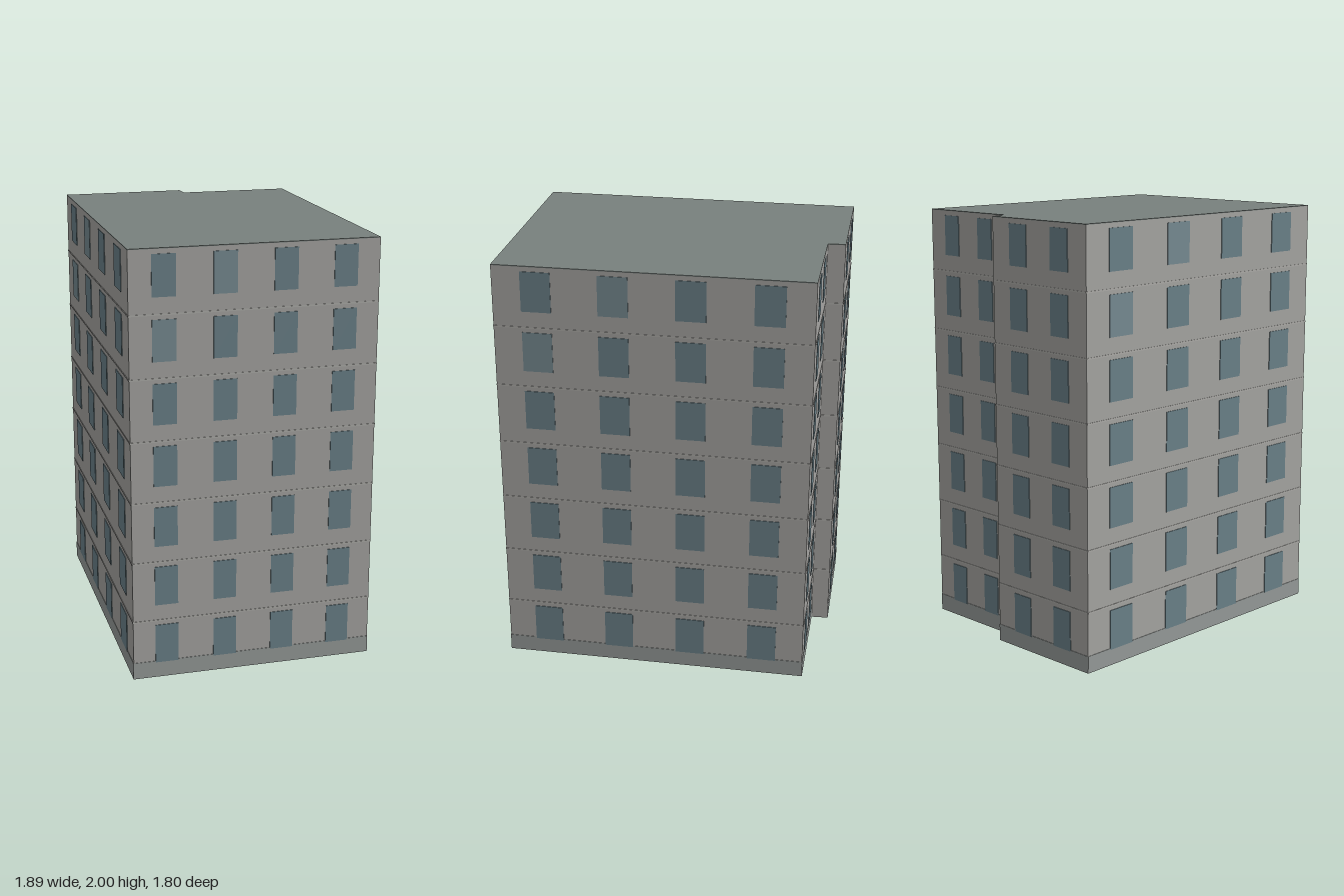
import * as THREE from 'three';

const paint = (color) => new THREE.MeshStandardMaterial({ color });

export function createModel() {
  const building = new THREE.Group();
  building.name = 'apartmentBlock';

  const wallMat = paint(0xa5a4a1), roofMat = paint(0x78807d), baseMat = paint(0x959a98);
  const beltMat = paint(0xadaca8), glassMat = paint(0x6a8088), paleGlassMat = paint(0x768a91);

  // Footprint corners (x, z), walked so every wall faces outwards
  const corners = [
    [-0.945, -0.09], [0.21, 0.895], [0.945, 0.03],
    [-0.15, -0.9], [-0.495, -0.495], [-0.56, -0.545],
  ];
  const height = 2, floors = 7, floorHeight = height / floors, roofThickness = 0.004;

  // Footprint raised into a solid from y0 to y1
  function slab(name, y0, y1, material) {
    const shape = new THREE.Shape(corners.map(([x, z]) => new THREE.Vector2(x, -z)));
    const geometry = new THREE.ExtrudeGeometry(shape, { depth: y1 - y0, bevelEnabled: false });
    geometry.rotateX(-Math.PI / 2);
    const mesh = new THREE.Mesh(geometry, material);
    mesh.name = name;
    mesh.position.y = y0;
    building.add(mesh);
  }
  slab('walls', 0, height - roofThickness, wallMat);
  slab('roof', height - roofThickness, height, roofMat);

  // Thin panel on a facade; x runs along the wall, proud is how far it stands out
  function panel(facade, name, x, y, w, h, proud, material) {
    const mesh = new THREE.Mesh(new THREE.BoxGeometry(w, h, proud * 2), material);
    mesh.name = name;
    mesh.position.set(x, y, 0);
    facade.add(mesh);
  }

  corners.forEach(([x0, z0], i) => {
    const [x1, z1] = corners[(i + 1) % corners.length];
    const dx = x1 - x0, dz = z1 - z0, length = Math.hypot(dx, dz);
    const facade = new THREE.Group();
    facade.name = `facade${i + 1}`;
    facade.position.set(x0, 0, z0);
    facade.rotation.y = Math.atan2(-dz, dx);
    building.add(facade);

    // Lines between floors
    for (let f = 1; f < floors; f++) {
      panel(facade, 'floorLine', length / 2, f * floorHeight - 0.003, length, 0.007, 0.002, beltMat);
    }
    if (length < 0.2) return; // the narrow step has no plinth or windows

    panel(facade, 'plinth', length / 2, 0.04, length, 0.08, 0.002, baseMat);

    // Windows: four across a full wall, two across each half wall
    const columns = length > 0.8 ? 4 : 2;
    const first = columns === 4 ? 0.138 : 0.28;
    const pitch = (1 - 2 * first) / (columns - 1);
    const width = length * (columns === 4 ? 0.095 : 0.185);
    for (let f = 0; f < floors; f++) {
      for (let c = 0; c < columns; c++) {
        const pale = columns === 4 && ((f === 6 && c === 1) || (f === 5 && c === 0));
        panel(facade, 'window', length * (first + c * pitch), f * floorHeight + 0.167,
          width, 0.187, 0.003, pale ? paleGlassMat : glassMat);
      }
    }
  });

  return building;
}
